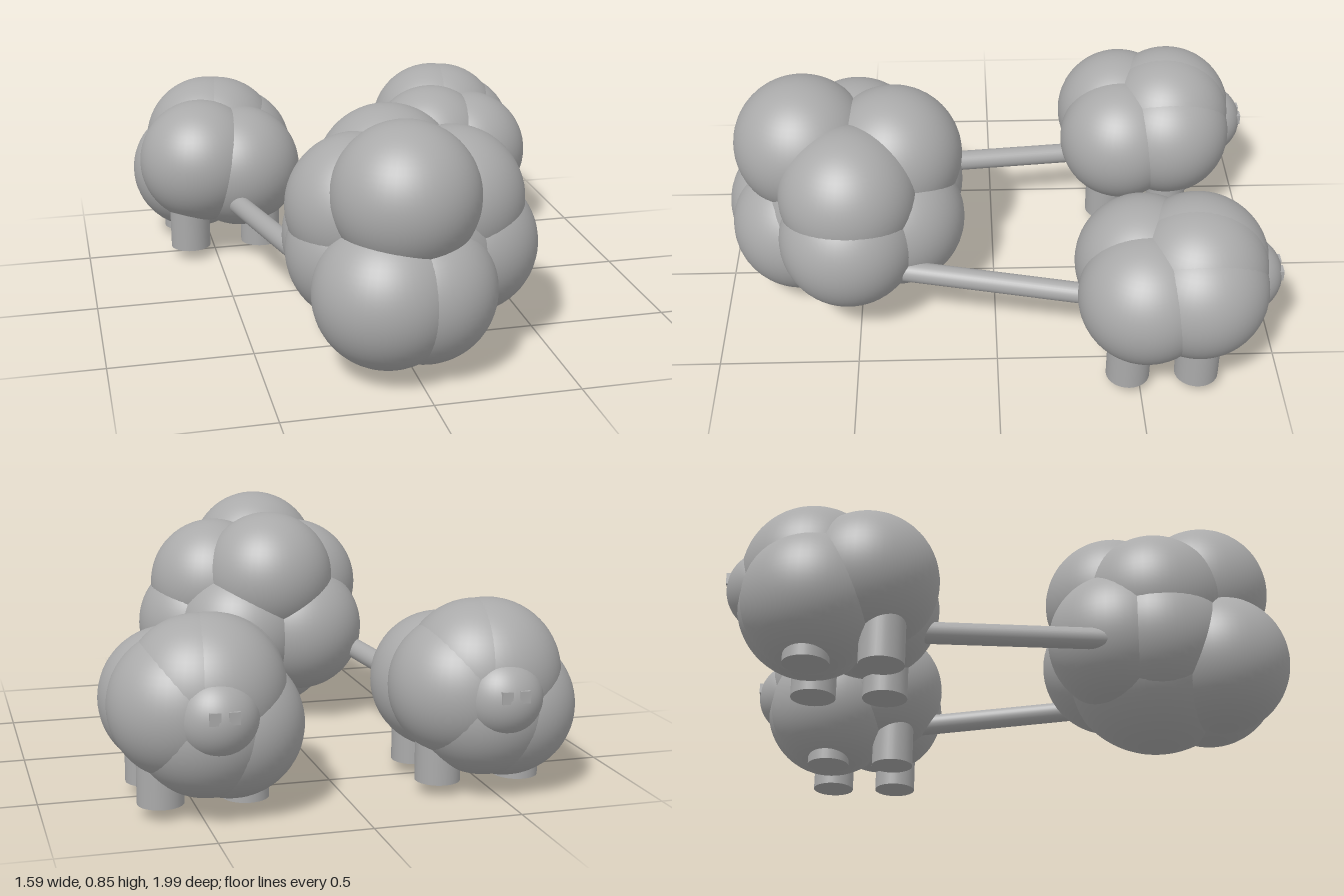
import * as THREE from 'three';

const clay = new THREE.MeshStandardMaterial({ color: 0xaaaaaa });
clay.name = 'clay grey';

function add(parent, name, geometry, x, y, z) {
  const mesh = new THREE.Mesh(geometry, clay);
  mesh.name = name;
  mesh.position.set(x, y, z);
  parent.add(mesh);
  return mesh;
}

// Overlapping balls given as [x, y, z, radius]
function puffs(parent, name, list) {
  for (const [x, y, z, r] of list) add(parent, name, new THREE.SphereGeometry(r, 48, 32), x, y, z);
}

// Round rod between two points
function rod(parent, name, from, to, radius) {
  const a = new THREE.Vector3(...from), b = new THREE.Vector3(...to);
  const dir = b.clone().sub(a), mid = a.clone().add(b).multiplyScalar(0.5);
  const mesh = add(parent, name, new THREE.CylinderGeometry(radius, radius, dir.length(), 32), mid.x, mid.y, mid.z);
  mesh.quaternion.setFromUnitVectors(new THREE.Vector3(0, 1, 0), dir.normalize());
}

// Woolly animal facing -z
function woollyAnimal(name) {
  const g = new THREE.Group();
  g.name = name;
  puffs(g, 'woolPuff', [
    [-0.068, 0.375, -0.515, 0.24],
    [0.083, 0.343, -0.515, 0.238],
    [-0.08, 0.29, -0.69, 0.243],
    [0.075, 0.365, -0.695, 0.243],
    [-0.015, 0.41, -0.70, 0.247],
    [0.02, 0.41, -0.695, 0.245],
    [0, 0.31, -0.705, 0.25],
  ]);
  puffs(g, 'head', [[0, 0.365, -0.855, 0.14]]);
  for (const x of [-0.03, 0.03]) add(g, 'eye', new THREE.BoxGeometry(0.036, 0.04, 0.02), x, 0.39, -0.983);
  for (const x of [-0.128, 0.152])
    for (const z of [-0.457, -0.70])
      add(g, 'leg', new THREE.CylinderGeometry(0.077, 0.077, 0.2, 32), x, 0.143, z);
  return g;
}

export function createModel() {
  const model = new THREE.Group();
  model.name = 'cloudPulledByWoollyAnimals';

  // Cloud: large core with smaller puffs around it
  const cloud = new THREE.Group();
  cloud.name = 'cloud';
  puffs(cloud, 'cloudCore', [[0.015, 0.348, 0.52, 0.346]]);
  puffs(cloud, 'cloudPuff', [
    [-0.02, 0.607, 0.695, 0.25],
    [-0.09, 0.29, 0.742, 0.252],
    [0.035, 0.285, 0.72, 0.25],
    [-0.133, 0.515, 0.50, 0.25],
    [-0.135, 0.36, 0.51, 0.25],
    [0.185, 0.525, 0.525, 0.25],
    [0.235, 0.365, 0.53, 0.25],
    [0, 0.567, 0.365, 0.25],
    [-0.12, 0.36, 0.365, 0.25],
    [0.11, 0.36, 0.36, 0.25],
  ]);
  model.add(cloud);

  // Two animals and their shafts
  for (const side of [-1, 1]) {
    const animal = woollyAnimal(side < 0 ? 'rightAnimal' : 'leftAnimal');
    animal.position.x = 0.4725 * side;
    model.add(animal);
    rod(model, 'shaft', [side < 0 ? -0.306 : 0.335, 0.287, 0.33], [0.46 * side, 0.232, -0.53], 0.038);
  }
  return model;
}
